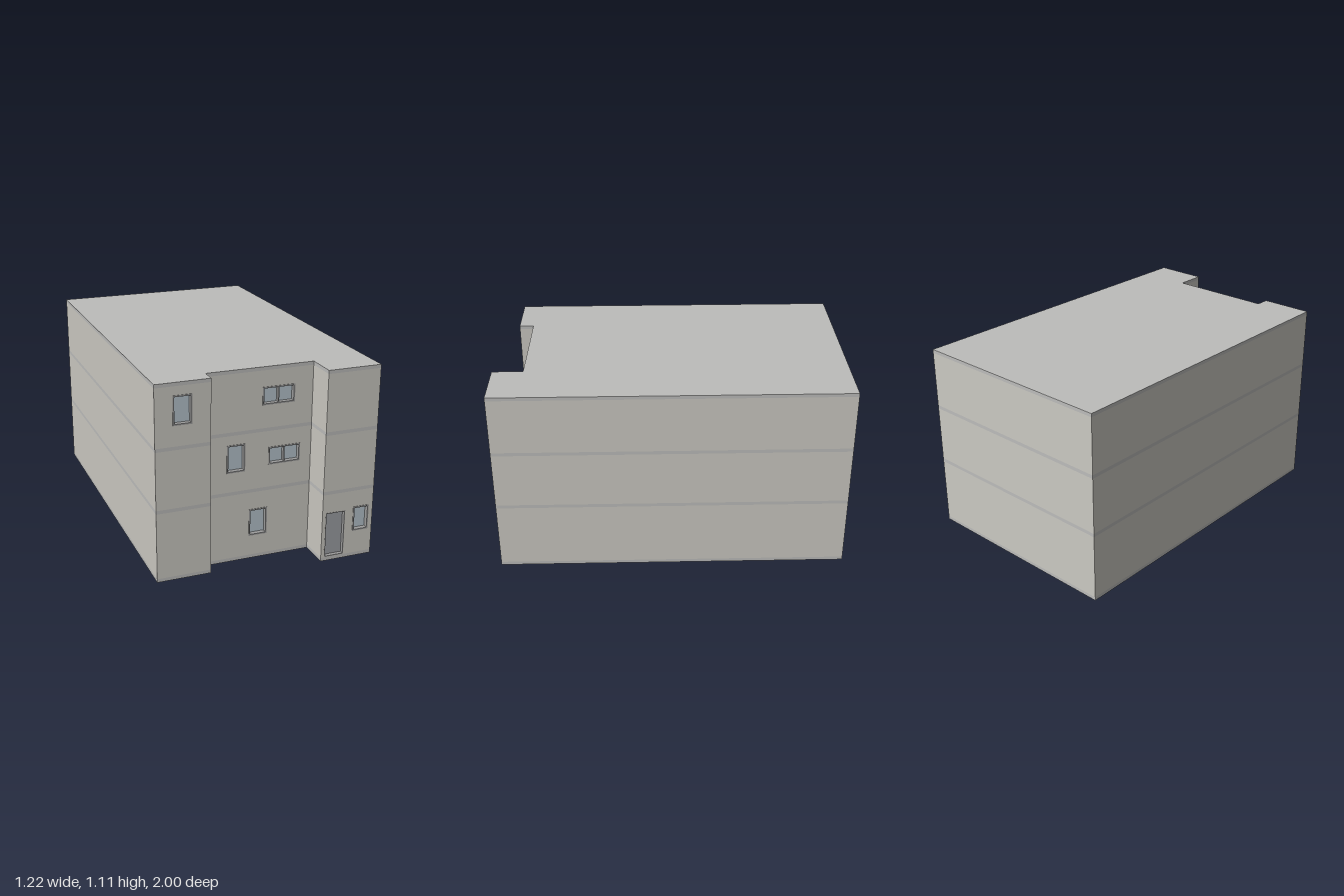
import * as THREE from 'three';

const WALL = new THREE.MeshStandardMaterial({ color: 0xcbc9c2 });
const SLAB = new THREE.MeshStandardMaterial({ color: 0xbdbdbb });
const FRAME = new THREE.MeshStandardMaterial({ color: 0x9c9c9c });
const GLASS = new THREE.MeshStandardMaterial({ color: 0xb5c3cc });
const DOOR = new THREE.MeshStandardMaterial({ color: 0x9da0a4 });

const DEPTH = 0.035; // thickness of the pierced facade skin
const PROUD = 0.003; // how far window frames stand out
const X = [-0.612, -0.308, 0.305, 0.612];
const BAY_Z = [0.905, 0.822, 0.997];
const BACK = -1;
const SLAB_H = 0.02;
const LEVELS = [0, 0.398, 0.743, 1.086];

// openings: bay, x range, y range, number of panes
const WINDOWS = [
  { bay: 0, x: [-0.515, -0.41], y: [0.876, 1.037], panes: 1 },
  { bay: 1, x: [0.013, 0.2], y: [0.893, 0.994], panes: 2 },
  { bay: 1, x: [-0.188, -0.082], y: [0.53, 0.69], panes: 1 },
  { bay: 1, x: [0.054, 0.24], y: [0.548, 0.65], panes: 2 },
  { bay: 1, x: [-0.055, 0.052], y: [0.138, 0.297], panes: 1 },
  { bay: 2, x: [0.492, 0.587], y: [0.155, 0.301], panes: 1 },
];
const ENTRANCE = { bay: 2, x: [0.325, 0.443], y: [0.022, 0.289] };

function add(parent, name, geometry, material) {
  const mesh = new THREE.Mesh(geometry, material);
  mesh.name = name;
  parent.add(mesh);
  return mesh;
}

function rect(Type, x0, x1, y0, y1) {
  return new Type([[x0, y0], [x1, y0], [x1, y1], [x0, y1]].map((p) => new THREE.Vector2(...p)));
}

// stepped floor plan, with its front pulled back by an inset
function plan(inset, y0, y1) {
  const pts = [new THREE.Vector2(X[3], -BACK), new THREE.Vector2(X[0], -BACK)];
  BAY_Z.forEach((z, i) => {
    pts.push(new THREE.Vector2(X[i], inset - z), new THREE.Vector2(X[i + 1], inset - z));
  });
  return new THREE.ExtrudeGeometry(new THREE.Shape(pts), { depth: y1 - y0, bevelEnabled: false })
    .rotateX(-Math.PI / 2)
    .translate(0, y0, 0);
}

// rectangular ring from z0 to z1
function ring({ x, y }, width, z0, z1) {
  const shape = rect(THREE.Shape, x[0], x[1], y[0], y[1]);
  shape.holes.push(rect(THREE.Path, x[0] + width, x[1] - width, y[0] + width, y[1] - width));
  return new THREE.ExtrudeGeometry(shape, { depth: z1 - z0, bevelEnabled: false }).translate(0, 0, z0);
}

function box(x0, x1, y0, y1, z0, z1) {
  return new THREE.BoxGeometry(x1 - x0, y1 - y0, z1 - z0)
    .translate((x0 + x1) / 2, (y0 + y1) / 2, (z0 + z1) / 2);
}

function makeWindow({ bay, x, y, panes }) {
  const group = new THREE.Group();
  group.name = 'window';
  const z = BAY_Z[bay];
  const w = 0.008;
  add(group, 'windowFrame', ring({ x, y }, w, z - DEPTH, z + PROUD), FRAME);
  add(group, 'windowGlass', box(x[0] + w, x[1] - w, y[0] + w, y[1] - w, z - DEPTH, z - 0.024), GLASS);
  if (panes === 2) {
    const mid = (x[0] + x[1]) / 2;
    add(group, 'mullion', box(mid - 0.004, mid + 0.004, y[0] + w, y[1] - w, z - 0.025, z - 0.004), FRAME);
  }
  return group;
}

function makeDoor({ bay, x, y }) {
  const group = new THREE.Group();
  group.name = 'entrance';
  const z = BAY_Z[bay];
  add(group, 'doorFrame', ring({ x, y }, 0.005, z - DEPTH, z + 0.0005), FRAME);
  add(group, 'doorLeaf', box(x[0] + 0.005, x[1] - 0.005, y[0] + 0.005, y[1] - 0.005, z - DEPTH, z - 0.022), DOOR);
  return group;
}

export function createModel() {
  const model = new THREE.Group();
  model.name = 'building';

  // floor slabs and roof, flush with the walls
  LEVELS.forEach((y, i) => {
    add(model, i === 3 ? 'roofSlab' : 'floorSlab', plan(0, y, y + SLAB_H), SLAB);
  });

  // storeys: a solid core with a pierced front skin on each bay
  const openings = [...WINDOWS, ENTRANCE];
  for (let i = 0; i < 3; i++) {
    const y0 = LEVELS[i] + SLAB_H;
    const y1 = LEVELS[i + 1];
    add(model, 'storeyWalls', plan(DEPTH, y0, y1), WALL);
    BAY_Z.forEach((z, bay) => {
      const shape = rect(THREE.Shape, X[bay], X[bay + 1], y0, y1);
      openings
        .filter((o) => o.bay === bay && o.y[0] > y0 && o.y[1] < y1)
        .forEach((o) => shape.holes.push(rect(THREE.Path, ...o.x, ...o.y)));
      const skin = new THREE.ExtrudeGeometry(shape, { depth: DEPTH, bevelEnabled: false });
      add(model, 'facade', skin.translate(0, 0, z - DEPTH), WALL);
    });
  }

  WINDOWS.forEach((w) => model.add(makeWindow(w)));
  model.add(makeDoor(ENTRANCE));
  return model;
}
